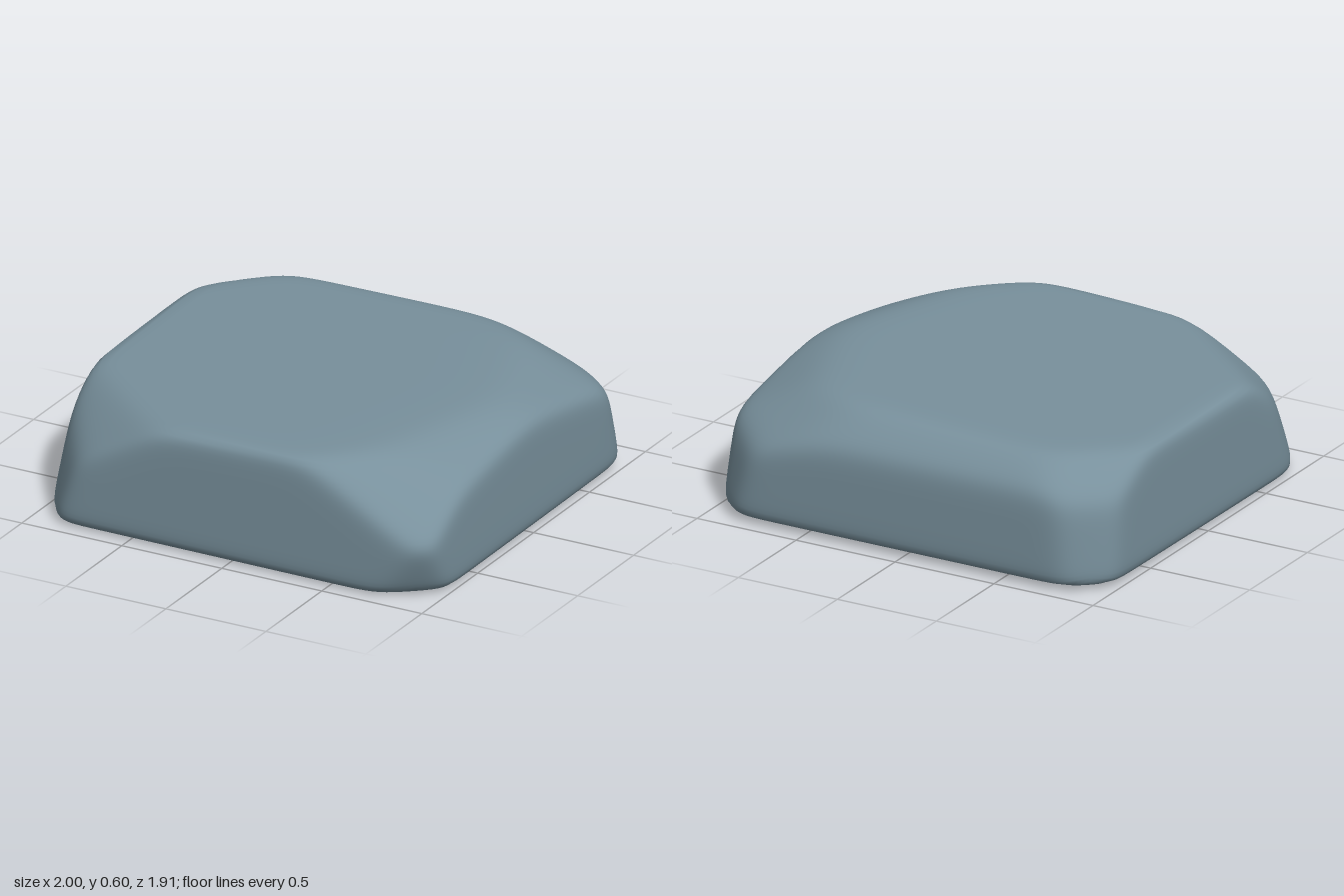
import * as THREE from 'three';

const CENTER = new THREE.Vector3(0, 0.3, 0);
const SOFTNESS = 38; // higher gives tighter rounded edges

// A flat cut through (x, y, z). Heading turns from +x towards +z, tilt rises from level, in degrees.
function cut(heading, tilt, x, y, z) {
  const a = THREE.MathUtils.degToRad(heading);
  const t = THREE.MathUtils.degToRad(tilt);
  const normal = new THREE.Vector3(Math.cos(t) * Math.cos(a), Math.sin(t), Math.cos(t) * Math.sin(a));
  return new THREE.Plane().setFromNormalAndCoplanarPoint(normal, new THREE.Vector3(x, y, z));
}

const CUTS = [
  // slab: underside, top, left, right, front, back
  cut(-90, -89.5, 0, 0, 0.9),
  cut(150, 88.35, 0, 0.585, 0),
  cut(0, 0, 1, 0.3, 0),
  cut(180, 0, -1, 0.3, 0),
  cut(90.3, 0, 0, 0.3, 0.952),
  cut(-90, 0, 0, 0.3, -0.957),
  // bevel along the back top edge
  cut(-90, 48, 0, 0.58, -0.82),
  // left side, two long slopes meeting at a peak
  cut(19.3, 63.5, 0.87, 0.605, 0),
  cut(-21.9, 64.3, 0.87, 0.605, 0),
  // front left corner: upper chip, lower chip
  cut(50.4, 47.5, 0.47, 0.54, 0.94),
  cut(50.9, -24, 0.76, 0.02, 0.955),
  // front right corner: upper chip, leaning chamfer
  cut(131, 49.8, -0.4, 0.57, 0.88),
  cut(143.7, 15, -0.82, 0.15, 0.945),
  // back left corner: upper chip, leaning chamfer
  cut(-61.4, 53, 0.62, 0.6, -0.65),
  cut(-45.7, 11.2, 0.8, 0.2, -0.955),
  // back right corner: upper chip, upright chamfer
  cut(-136, 48.8, -0.7, 0.57, -0.82),
  cut(-132.5, 3, -0.82, 0.2, -0.955),
];

// Soft maximum of the distances to all cuts; negative inside the stone
function softDistance(p) {
  let sum = 0;
  for (const plane of CUTS) sum += Math.exp(SOFTNESS * plane.distanceToPoint(p));
  return Math.log(sum) / SOFTNESS;
}

// Outward normal: the cut normals blended by closeness
function softNormal(p, target) {
  target.set(0, 0, 0);
  for (const plane of CUTS) {
    target.addScaledVector(plane.normal, Math.exp(SOFTNESS * plane.distanceToPoint(p)));
  }
  return target.normalize();
}

function stoneGeometry() {
  const geometry = new THREE.BoxGeometry(2, 0.6, 1.92, 80, 26, 80);
  const { position, normal } = geometry.attributes;
  const ray = new THREE.Vector3();
  const p = new THREE.Vector3();
  const n = new THREE.Vector3();
  for (let i = 0; i < position.count; i++) {
    // slide each vertex along its ray from the centre onto the surface
    ray.fromBufferAttribute(position, i);
    let near = 0;
    let far = 1.3;
    for (let step = 0; step < 24; step++) {
      const mid = (near + far) / 2;
      p.copy(CENTER).addScaledVector(ray, mid);
      if (softDistance(p) < 0) near = mid;
      else far = mid;
    }
    position.setXYZ(i, p.x, p.y, p.z);
    softNormal(p, n);
    normal.setXYZ(i, n.x, n.y, n.z);
  }
  return geometry;
}

export function createModel() {
  const group = new THREE.Group();
  group.name = 'flatStone';
  const stoneGrey = new THREE.MeshStandardMaterial({ color: 0x78909c });
  stoneGrey.name = 'blueGreyStone';
  const stone = new THREE.Mesh(stoneGeometry(), stoneGrey);
  stone.name = 'stoneSlab';
  group.add(stone);
  return group;
}
